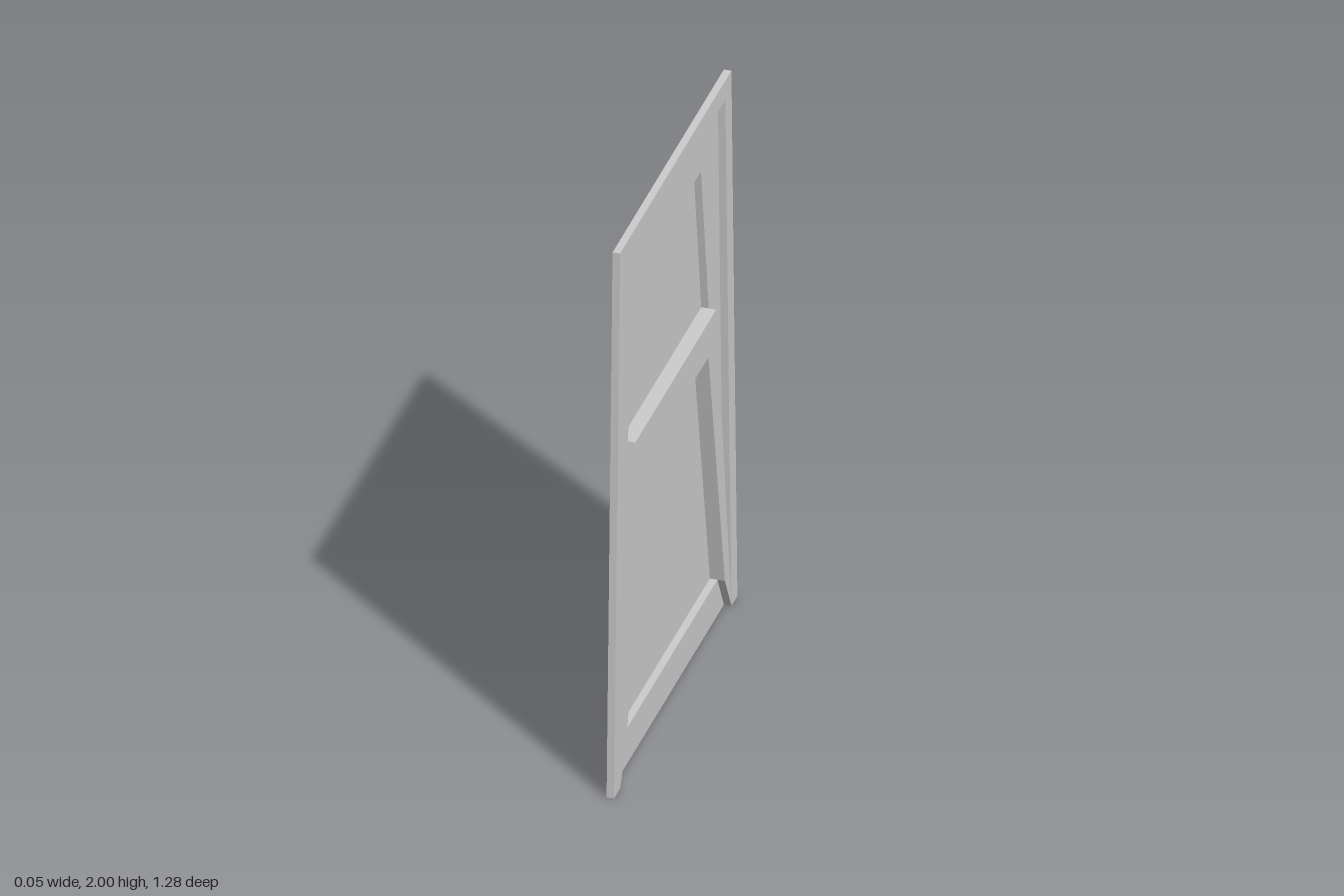
import * as THREE from 'three';

const FRONT = 0.025, MID = 0, BACK = -0.025;

export function createModel() {
  const model = new THREE.Group();
  model.name = 'pressedPanel';
  const grey = new THREE.MeshStandardMaterial({ color: 0xcccccc, side: THREE.DoubleSide });
  grey.name = 'light grey';

  const add = (name, geometry) => {
    const mesh = new THREE.Mesh(geometry, grey);
    mesh.name = name;
    model.add(mesh);
  };

  // Flat sheet facing +x; the outline runs across (-z) and up (y)
  const sheet = (name, outline, level) => {
    const shape = new THREE.Shape(outline.map(([s, y]) => new THREE.Vector2(s, y)));
    const geometry = new THREE.ShapeGeometry(shape);
    geometry.rotateY(Math.PI / 2);
    geometry.translate(level, 0, 0);
    add(name, geometry);
  };

  // Straight wall along a path between two levels, facing left of the path
  const wall = (name, path, high, low) => {
    const v = [];
    for (let i = 0; i < path.length - 1; i++) {
      const [a, b] = [path[i], path[i + 1]];
      const p = ([s, y], x) => [x, y, -s];
      v.push(...p(a, high), ...p(b, high), ...p(b, low));
      v.push(...p(a, high), ...p(b, low), ...p(a, low));
    }
    const geometry = new THREE.BufferGeometry();
    geometry.setAttribute('position', new THREE.Float32BufferAttribute(v, 3));
    geometry.computeVertexNormals();
    add(name, geometry);
  };

  const mirror = (pts) => pts.map(([s, y]) => [-s, y]).reverse();
  const both = (pts) => [...pts, ...mirror(pts)];

  // Right halves of the outlines, bottom to top
  const outer = [[0.64, 0], [0.578, 2]];
  const inner = [[0.578, 0], [0.515, 1.93]];
  const archOuter = [[0.578, 0], [0.42, 1.2]];
  const archInner = [[0.51, 0.133], [0.34, 1.07]];
  const upper = [[0.42, 1.2], [0.34, 1.76]];
  const foot = [[0.578, 0], [0.51, 0.133]];

  // Outer frame with its top and one side flange
  sheet('outerFrame', [...both(outer), ...both(inner).reverse()], FRONT);
  wall('frameFlange', both(outer).reverse().slice(0, 3), FRONT, MID);
  wall('frameInnerWall', both(inner), FRONT, MID);

  // Middle field between frame, arch and upper pocket
  sheet('middleField', [...both(inner), ...mirror(both([archOuter[1], upper[1]])).reverse()], MID);

  // Upper pocket
  sheet('upperPocket', both(upper), BACK);
  wall('upperPocketWall', both(upper), MID, BACK);
  wall('pocketLedge', [[-0.42, 1.2], [0.42, 1.2]], FRONT, BACK);

  // Raised arch around the lower pocket
  sheet('lowerArch', [...both(archOuter), ...both(archInner).reverse()], FRONT);
  for (const side of [archOuter.slice().reverse(), mirror(archOuter).reverse()])
    wall('archSideWall', side, FRONT, MID);

  // Lower pocket and the sill beneath it
  sheet('lowerPocket', both(archInner), BACK);
  wall('lowerPocketWall', both(archInner), FRONT, BACK);
  sheet('sill', both(foot), MID);
  wall('sillLip', [[-0.51, 0.133], [0.51, 0.133]], MID, BACK);
  for (const side of [foot, mirror(foot)]) wall('archFootWall', side, FRONT, MID);

  return model;
}
